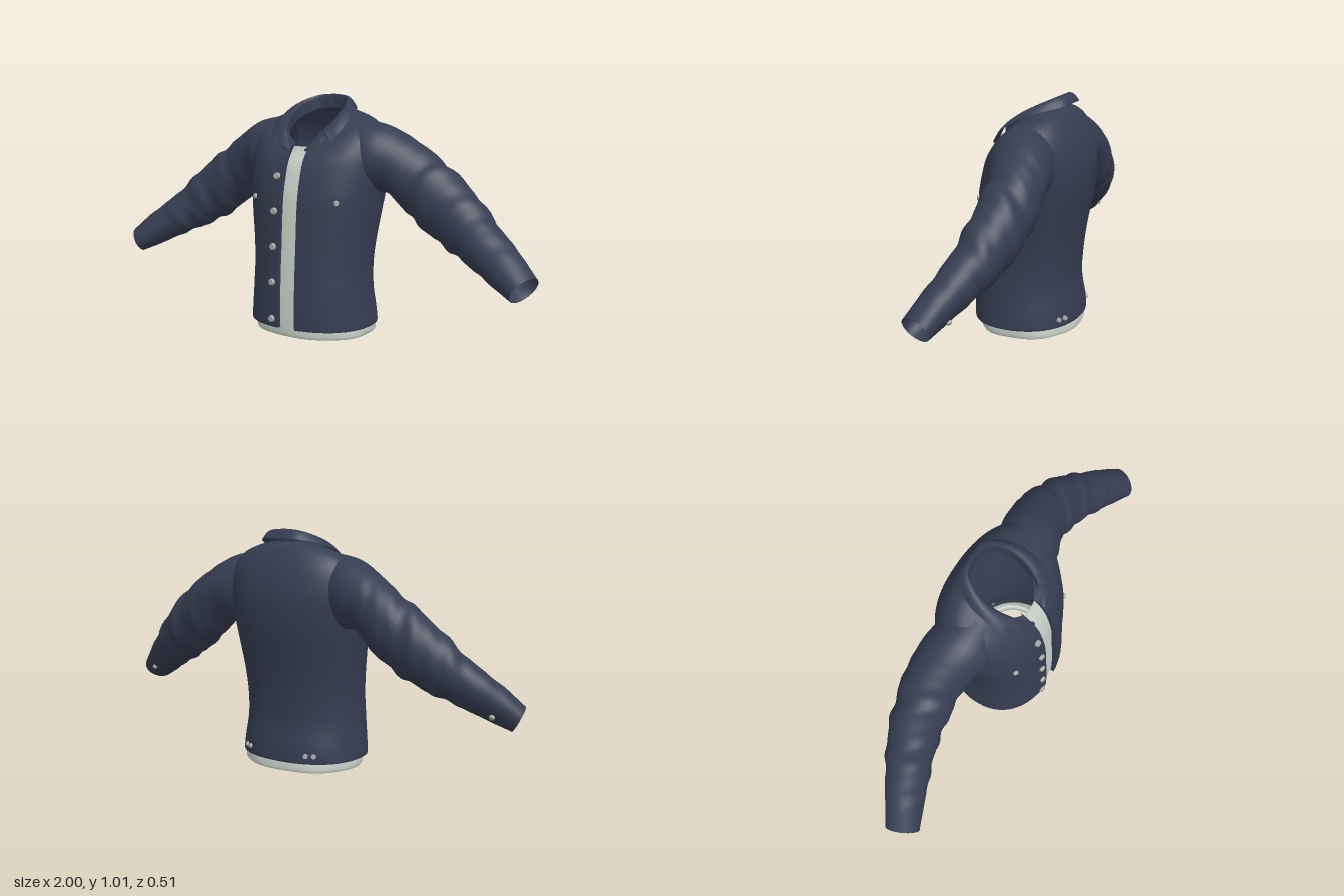
import * as THREE from 'three';

const mat = (name, color) => new THREE.MeshStandardMaterial({ name, color, side: THREE.DoubleSide });
const lerp = THREE.MathUtils.lerp;
const spow = (v, e) => Math.sign(v) * Math.abs(v) ** e;

// Smoothly interpolated row of numbers, t in 0..1
function sample(rows, t) {
  const f = t * (rows.length - 1), i = Math.min(Math.floor(f), rows.length - 2), k = f - i;
  const row = (n) => rows[Math.max(0, Math.min(rows.length - 1, n))];
  const [p, a, b, n] = [row(i - 1), row(i), row(i + 1), row(i + 2)];
  return a.map((v, j) => v + 0.5 * k * (b[j] - p[j] + k * (2 * p[j] - 5 * v + 4 * b[j] - n[j] + k * (3 * (v - b[j]) + n[j] - p[j]))));
}

// Grid surface from point(u, v); closed joins the last column to the first
function loft(point, nu, nv, closed = false) {
  const pos = [], index = [], cols = closed ? nv : nv + 1;
  for (let i = 0; i <= nu; i++) for (let j = 0; j < cols; j++) pos.push(...point(i / nu, j / nv));
  for (let i = 0; i < nu; i++) for (let j = 0; j < nv; j++) {
    const a = i * cols + j, b = i * cols + (j + 1) % cols;
    index.push(a, b, a + cols, b, b + cols, a + cols);
  }
  const g = new THREE.BufferGeometry();
  g.setAttribute('position', new THREE.Float32BufferAttribute(pos, 3));
  g.setIndex(index);
  g.computeVertexNormals();
  return g;
}

// Torso rows: y front, y side, y back, half width, z front, z back
const torsoRows = [
  [0.06, 0.06, 0.06, 0.268, 0.238, -0.203],
  [0.042, 0.042, 0.042, 0.28, 0.25, -0.215],
  [0.1, 0.1, 0.1, 0.275, 0.252, -0.212],
  [0.2, 0.2, 0.2, 0.265, 0.25, -0.196],
  [0.3, 0.3, 0.3, 0.262, 0.245, -0.2],
  [0.4, 0.4, 0.4, 0.27, 0.238, -0.211],
  [0.5, 0.5, 0.5, 0.284, 0.232, -0.228],
  [0.6, 0.6, 0.6, 0.298, 0.222, -0.246],
  [0.7, 0.7, 0.7, 0.31, 0.198, -0.253],
  [0.75, 0.78, 0.77, 0.312, 0.177, -0.246],
  [0.785, 0.855, 0.84, 0.295, 0.15, -0.226],
  [0.8, 0.9, 0.9, 0.245, 0.135, -0.198],
  [0.805, 0.917, 0.94, 0.18, 0.125, -0.17],
  [0.81, 0.925, 0.957, 0.12, 0.115, -0.142],
];
const EXP = 0.9, GAP = 0.04;

function torsoPoint(t, a) {
  const [yf, ys, yb, w, zf, zb] = sample(torsoRows, t);
  const s = Math.sin(a), c = Math.cos(a), ym = (yf + yb) / 2;
  return [w * spow(s, EXP), ym + (yf - yb) / 2 * c + (ys - ym) * s * s,
    (zf + zb) / 2 + (zf - zb) / 2 * spow(c, EXP)];
}
const angleAt = (t, x) => Math.asin((x / sample(torsoRows, t)[3]) ** (1 / EXP));

// Parameter of the torso at a given height
function torsoT(y) {
  let lo = 1 / 13, hi = 10 / 13;
  for (let i = 0; i < 30; i++) {
    const m = (lo + hi) / 2;
    if (sample(torsoRows, m)[0] < y) lo = m; else hi = m;
  }
  return lo;
}

// Sleeve rows: top x, top y, bottom x, bottom y, z centre, z radius
const sleeveRows = [
  [0.19, 0.915, 0.22, 0.64, -0.04, 0.12],
  [0.3, 0.895, 0.27, 0.605, -0.05, 0.138],
  [0.385, 0.855, 0.335, 0.605, -0.065, 0.128],
  [0.47, 0.8, 0.41, 0.535, -0.078, 0.12],
  [0.56, 0.735, 0.49, 0.47, -0.072, 0.113],
  [0.66, 0.66, 0.58, 0.415, -0.058, 0.104],
  [0.75, 0.57, 0.665, 0.375, -0.033, 0.094],
  [0.83, 0.495, 0.745, 0.34, 0, 0.085],
  [0.91, 0.43, 0.835, 0.295, 0.037, 0.075],
  [0.99, 0.35, 0.935, 0.25, 0.078, 0.066],
];

function sleevePoint(t, a) {
  const [tx, ty, bx, by, zc, rz] = sample(sleeveRows, t);
  const fade = Math.sin(Math.PI * Math.min(1, Math.max(0, (t - 0.2) / 0.75)));
  const k = 1 + fade * (0.04 * Math.sin(t * 42 + 2 * Math.sin(a)) + 0.02 * Math.sin(t * 71 + 3 * a));
  const c = Math.cos(a) * k, s = Math.sin(a) * k;
  return [(tx + bx) / 2 + (tx - bx) / 2 * c - 0.4 * t * rz * s, (ty + by) / 2 + (ty - by) / 2 * c, zc + rz * s];
}

export function createModel() {
  const group = new THREE.Group();
  group.name = 'jacket';
  const cloth = mat('navy cloth', 0x353d51);
  const linen = mat('pale linen', 0xc9d2ca);
  const metal = mat('button metal', 0xa9aca6);
  const add = (name, geometry, material) => {
    const m = new THREE.Mesh(geometry, material);
    m.name = name;
    group.add(m);
    return m;
  };

  // Body, open down the front
  add('body', loft((u, v) => {
    const a0 = angleAt(u, GAP);
    return torsoPoint(u, lerp(a0, 2 * Math.PI - a0, v));
  }, 65, 72), cloth);

  // Turned-in front edges, sleeves, collar and lapels on both sides
  const curve = (pts) => new THREE.CatmullRomCurve3(pts.map((p) => new THREE.Vector3(...p)));
  const fold = curve([[0, 1.012, -0.138], [0.07, 1.004, -0.12], [0.11, 0.972, -0.05], [0.112, 0.925, 0.03], [0.088, 0.872, 0.1]]);
  const outer = curve([[0, 0.975, -0.176], [0.09, 0.97, -0.163], [0.155, 0.945, -0.07], [0.172, 0.912, 0.02], [0.165, 0.858, 0.1], [0.14, 0.828, 0.128]]);
  const lapelIn = curve([[0.088, 0.875, 0.1], [0.066, 0.835, 0.128], [0.038, 0.795, 0.156]]);
  const lapelOut = curve([[0.116, 0.838, 0.128], [0.096, 0.805, 0.154], [0.042, 0.785, 0.166]]);
  for (const [side, sx] of [['left', 1], ['right', -1]]) {
    add(side + 'FrontEdge', loft((u, v) => {
      const t = lerp(1 / 13, 1, u), p = torsoPoint(t, angleAt(t, GAP));
      return [sx * p[0], p[1], p[2] - v * 0.018];
    }, 50, 1), cloth);

    add(side + 'Sleeve', loft((u, v) => {
      const p = sleevePoint(u, v * 2 * Math.PI);
      return [sx * p[0], p[1], p[2]];
    }, 72, 32, true), cloth);
    add(side + 'CuffLining', loft((u, v) => {
      const p = sleevePoint(1 - u * 0.12, v * 2 * Math.PI), c = sleevePoint(1 - u * 0.12, v * 2 * Math.PI + Math.PI);
      return [0, 1, 2].map((i) => (i ? 1 : sx) * lerp(p[i], c[i], Math.min(u * 4, 1) * 0.06));
    }, 4, 32, true), cloth);

    add(side + 'Collar', loft((u, v) => {
      const f = fold.getPoint(u), o = outer.getPoint(u);
      if (v < 0.4) f.y -= (0.4 - v) * 0.15;
      else {
        const k = (v - 0.4) / 0.6;
        f.lerp(o, k);
        f.y += 0.012 * Math.sin(Math.PI * k);
      }
      return [sx * f.x, f.y, f.z];
    }, 28, 10), cloth);
    add(side + 'Lapel', loft((u, v) => {
      const p = lapelIn.getPoint(u).lerp(lapelOut.getPoint(u), v);
      return [sx * p.x, p.y, p.z + 0.006 * Math.sin(Math.PI * v)];
    }, 10, 4), cloth);
  }

  // Shirt strip showing between the front edges
  add('shirtFront', loft((u, v) => {
    const y = lerp(0.03, 0.8, u), x = lerp(-0.06, 0.06, v);
    const z = y < 0.05 ? 0.25 : sample(torsoRows, torsoT(Math.min(y, 0.784)))[4];
    return [x, y, z - 0.022 - 0.012 * u - x * x];
  }, 30, 4), linen);

  // Shirt hem below the jacket, rolled inwards
  const hemRows = [[0.07, 0.262, 0.228, -0.2], [0.03, 0.267, 0.229, -0.208], [0.002, 0.262, 0.224, -0.207], [0.012, 0.24, 0.202, -0.185], [0.05, 0.235, 0.197, -0.18]];
  add('shirtHem', loft((u, v) => {
    const [y, w, zf, zb] = sample(hemRows, u), a = v * 2 * Math.PI;
    const k = 1 + 0.012 * Math.sin(a * 7) * Math.sin(Math.PI * u);
    return [w * k * spow(Math.sin(a), EXP), Math.max(0, y), (zf + zb) / 2 + (zf - zb) / 2 * k * spow(Math.cos(a), EXP)];
  }, 16, 72, true), linen);

  // Buttons sit on the cloth, facing along its normal
  const buttonShape = new THREE.CylinderGeometry(0.011, 0.014, 0.012, 14);
  const button = (name, surface, t, a, sx, out, size = 1) => {
    const at = (dt, da) => new THREE.Vector3(...surface(t + dt, a + da));
    const p = at(0, 0);
    const n = at(0.004, 0).sub(p).cross(at(0, 0.02).sub(p)).normalize();
    if (n.dot(out) < 0) n.negate();
    p.addScaledVector(n, 0.004);
    p.x *= sx;
    n.x *= sx;
    const m = add(name, buttonShape, metal);
    m.position.copy(p);
    m.quaternion.setFromUnitVectors(new THREE.Vector3(0, 1, 0), n);
    m.scale.setScalar(size);
  };
  const front = new THREE.Vector3(0, 0, 1), back = new THREE.Vector3(0, 0, -1);
  for (const y of [0.68, 0.535, 0.385, 0.235, 0.077]) {
    const t = torsoT(y);
    button('frontButton', torsoPoint, t, angleAt(t, 0.072), -1, front, 1.15);
  }
  for (const sx of [1, -1]) {
    const chest = torsoT(0.582), waist = torsoT(0.075);
    button('chestButton', torsoPoint, chest, angleAt(chest, 0.2), sx, front, 0.9);
    for (const x of [0.145, 0.175]) button('backButton', torsoPoint, waist, Math.PI - angleAt(waist, x), sx, back, 0.8);
    button('cuffButton', sleevePoint, 0.91, -2.1, sx, back, 0.85);
  }
  return group;
}
